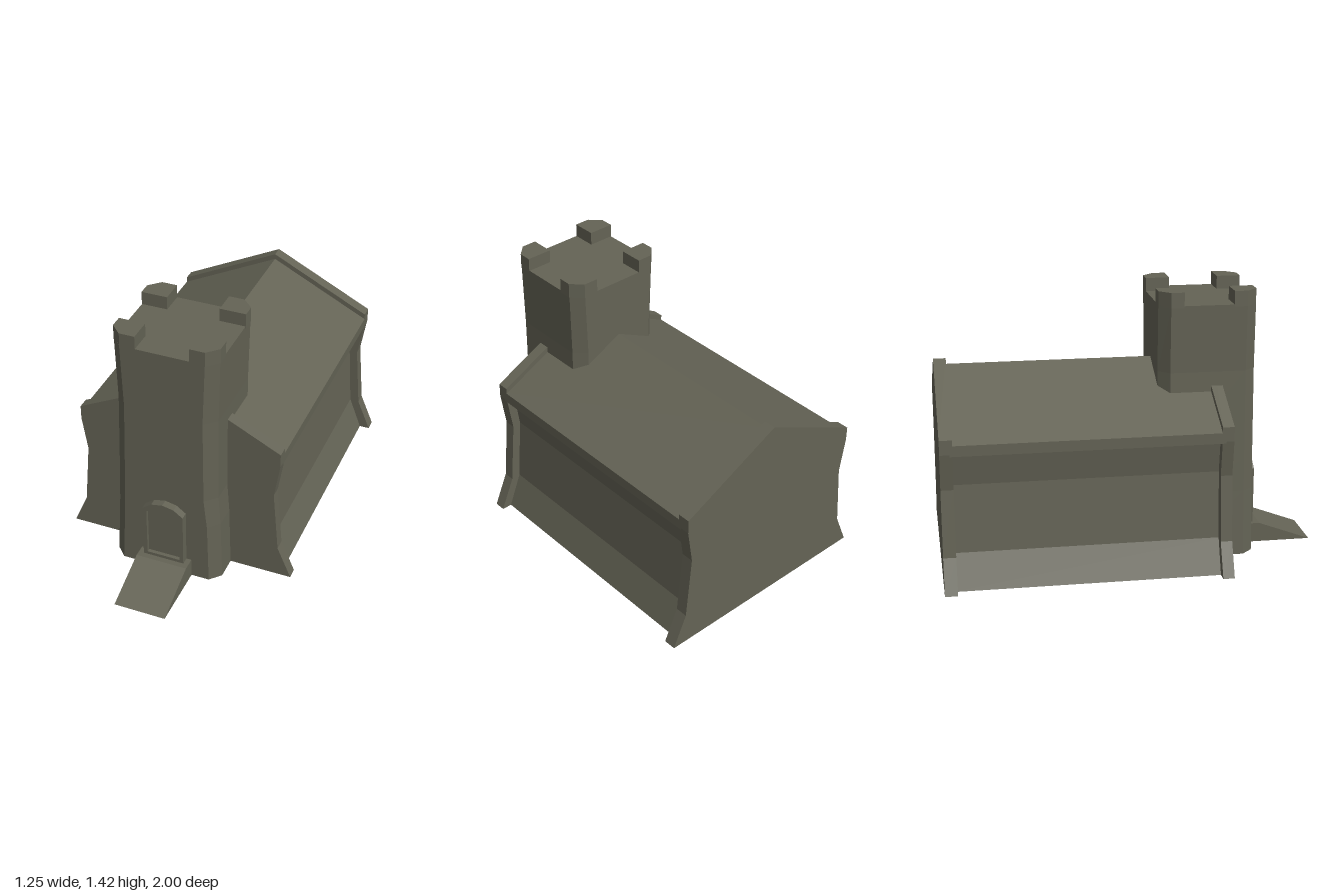
import * as THREE from 'three';

const stone = new THREE.MeshStandardMaterial({ color: 0x66644f, flatShading: true });
stone.name = 'stone';
stone.color.set(0x646355);

function add(group, name, geometry) {
  const mesh = new THREE.Mesh(geometry, stone);
  mesh.name = name;
  group.add(mesh);
  return mesh;
}

// Extrude a list of [x, y] points from z0 to z1
function prism(points, z0, z1, hole) {
  const shape = new THREE.Shape(points.map(p => new THREE.Vector2(...p)));
  if (hole) shape.holes.push(new THREE.Path(hole.map(p => new THREE.Vector2(...p))));
  return new THREE.ExtrudeGeometry(shape, { depth: z1 - z0, bevelEnabled: false }).translate(0, 0, z0);
}

// Complete a right-hand outline with its mirror image
function mirrored(half) {
  const left = half.filter(p => p[0] !== 0).map(([x, y]) => [-x, y]).reverse();
  return [...half, ...left];
}

// Skin matching rings of points and cap both ends
function loft(rings) {
  const n = rings[0].length, pos = [];
  const tri = (a, b, c) => pos.push(...a, ...b, ...c);
  for (let r = 0; r < rings.length - 1; r++) {
    for (let i = 0; i < n; i++) {
      const j = (i + 1) % n, lo = rings[r], hi = rings[r + 1];
      tri(lo[i], lo[j], hi[j]);
      tri(lo[i], hi[j], hi[i]);
    }
  }
  const top = rings[rings.length - 1], base = rings[0];
  for (let i = 1; i < n - 1; i++) {
    tri(top[0], top[i], top[i + 1]);
    tri(base[0], base[i + 1], base[i]);
  }
  const g = new THREE.BufferGeometry();
  g.setAttribute('position', new THREE.Float32BufferAttribute(pos, 3));
  g.computeVertexNormals();
  return g;
}

// Arched outline from half width, sill, spring line and crown
function arch(w, sill, spring, crown) {
  return mirrored([[w, sill], [w, spring], [w * 0.55, spring + (crown - spring) * 0.75], [0, crown]]);
}

export function createModel() {
  const model = new THREE.Group();
  model.name = 'church';

  // Nave: battered walls, overhanging eaves and pitched roof
  add(model, 'nave', prism(mirrored([
    [0.57, 0], [0.5, 0.18], [0.475, 0.53], [0.5, 0.7], [0.55, 0.7], [0.55, 0.755], [0, 1.03],
  ]), -0.95, 0.43));

  // Raised gable walls at both ends
  const gable = mirrored([
    [0.625, 0], [0.55, 0.175], [0.52, 0.52], [0.55, 0.71], [0.55, 0.785], [0, 1.06],
  ]);
  add(model, 'backGable', prism(gable, -1, -0.935));
  add(model, 'frontGable', prism(gable, 0.41, 0.47));

  // Tower: slightly waisted shaft with chamfered corners
  // Each level: height, left outer, left chamfer, right chamfer, right outer
  const levels = [
    [0, -0.305, -0.25, 0.237, 0.29],
    [0.35, -0.285, -0.23, 0.228, 0.28],
    [0.52, -0.279, -0.224, 0.21, 0.268],
    [1, -0.266, -0.21, 0.207, 0.268],
    [1.35, -0.277, -0.222, 0.22, 0.276],
  ];
  const back = 0.138, front = 0.648, ch = 0.057;
  add(model, 'tower', loft(levels.map(([y, l, lc, rc, r]) => [
    [lc, y, front], [rc, y, front], [r, y, front - ch], [r, y, back + ch],
    [rc, y, back], [lc, y, back], [l, y, back + ch], [l, y, front - ch],
  ])));

  // Corner merlons, following the chamfers
  const midZ = (front + back) / 2, half = (front - back) / 2;
  for (const sx of [-1, 1]) {
    for (const sz of [-1, 1]) {
      const plan = [
        [0.14, half - 0.125], [0.278, half - 0.125], [0.278, half - ch], [0.221, half], [0.14, half],
      ].map(([x, z]) => [sx * x, midZ + sz * z]);
      if (sx * sz > 0) plan.reverse();
      add(model, 'merlon', loft([1.34, 1.42].map(y => plan.map(([x, z]) => [x, y, z]))));
    }
  }

  // Doorway: raised arched frame with a recessed door
  add(model, 'doorFrame', prism(arch(0.112, 0.1, 0.41, 0.46), 0.63, 0.69, arch(0.09, 0.122, 0.392, 0.437)));
  add(model, 'door', prism(arch(0.095, 0.115, 0.395, 0.44), 0.63, 0.67));

  // Ramp with a short landing at the door
  const ramp = prism([[-1, 0], [-0.72, 0.105], [-0.63, 0.105], [-0.63, 0]].reverse(), -0.14, 0.14);
  add(model, 'ramp', ramp.rotateY(Math.PI / 2));

  return model;
}
